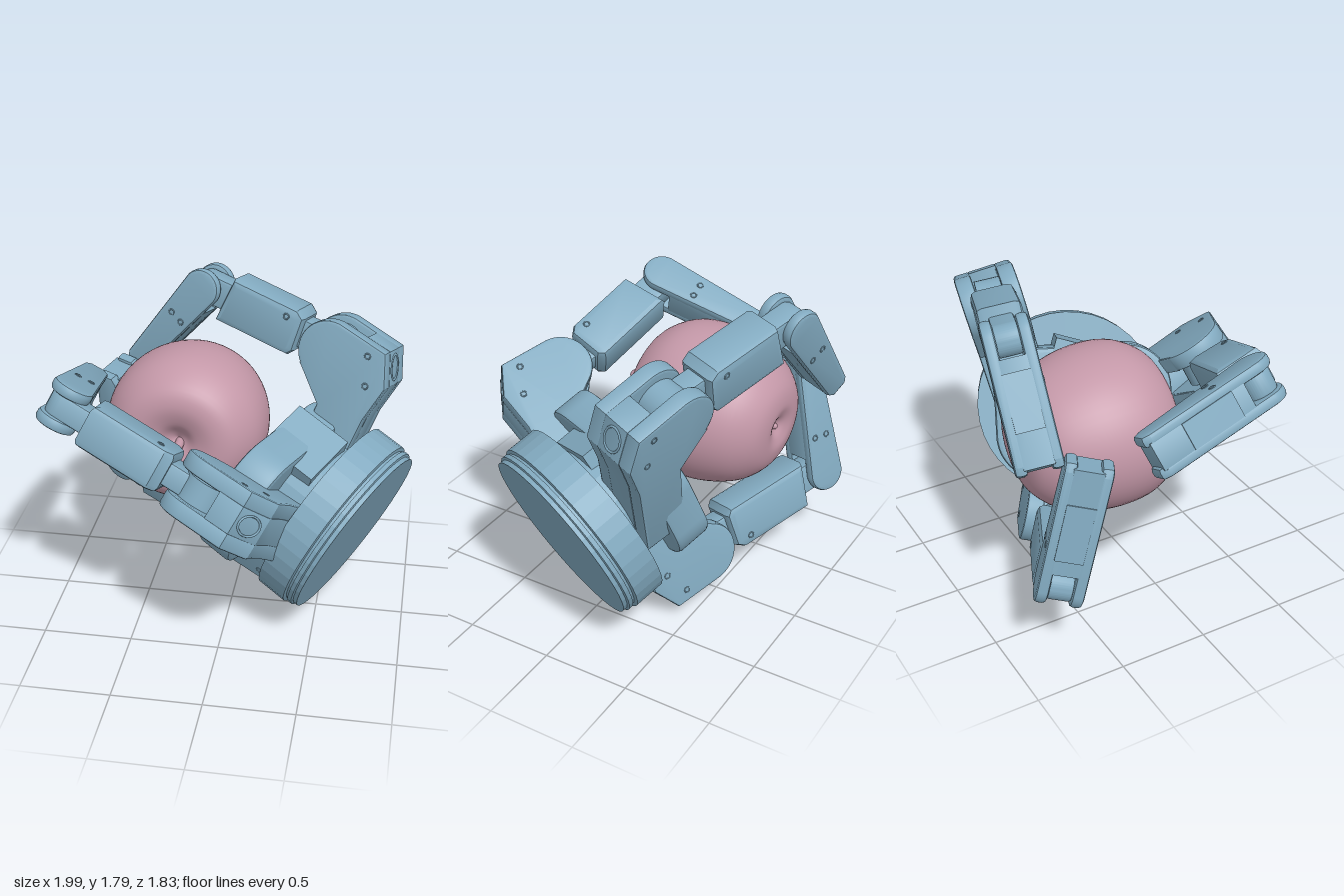
import * as THREE from 'three';
import { toCreasedNormals } from 'three/addons/utils/BufferGeometryUtils.js';

const V = (x, y, z) => new THREE.Vector3(x, y, z);
const steel = new THREE.MeshStandardMaterial({ color: 0x82aac0 });
const steelFlat = new THREE.MeshStandardMaterial({ color: 0x82aac0, flatShading: true });
const fruitSkin = new THREE.MeshStandardMaterial({ color: 0xc498a8 });

function add(parent, name, geometry, material = steel) {
  const mesh = new THREE.Mesh(geometry, material);
  mesh.name = name;
  parent.add(mesh);
}

// Group placed at a point with its own x, y, z directions
function frame(parent, name, origin, x, y, z) {
  const g = new THREE.Group();
  g.name = name;
  g.quaternion.setFromRotationMatrix(new THREE.Matrix4().makeBasis(x, y, z));
  g.position.copy(origin);
  parent.add(g);
  return g;
}

// Bevelled slab of a given width, centred on z = zc
function slab(shape, width, zc = 0, bevel = 0.015) {
  const g = new THREE.ExtrudeGeometry(shape, {
    depth: width - 2 * bevel, bevelThickness: bevel, bevelSize: bevel,
    bevelOffset: -bevel, bevelSegments: 2, curveSegments: 16,
  });
  g.translate(0, 0, zc - width / 2 + bevel);
  return toCreasedNormals(g, 0.5);
}

const poly = (pts) => new THREE.Shape(pts.map(([x, y]) => new THREE.Vector2(x, y)));

function roundedRect(x0, x1, y0, y1, r) {
  const s = new THREE.Shape();
  s.absarc(x1 - r, y1 - r, r, 0, Math.PI / 2);
  s.absarc(x0 + r, y1 - r, r, Math.PI / 2, Math.PI);
  s.absarc(x0 + r, y0 + r, r, Math.PI, Math.PI * 1.5);
  s.absarc(x1 - r, y0 + r, r, Math.PI * 1.5, Math.PI * 2);
  return s;
}

// Screw heads on both side faces of a link
function screws(parent, spots, half) {
  for (const [x, y] of spots) for (const side of [-1, 1]) {
    const g = new THREE.TorusGeometry(0.016, 0.004, 6, 14);
    g.translate(x, y, side * half);
    add(parent, 'screw', g);
  }
}

// Knuckle housing: a forked round end, a squared back and an arm to the palm
function buildKnuckle(g, arm) {
  const back = [[-0.31, -0.135], [-0.38, 0.05], [-0.33, 0.27], [-0.30, arm], [-0.04, arm], [-0.05, 0.3]];
  const cheek = poly(back);
  cheek.lineTo(0.115, 0.135);
  cheek.absarc(0, 0, 0.178, 0.88, -1.75, true);
  cheek.closePath();
  for (const s of [-1, 1]) add(g, 'knuckleCheek', slab(cheek, 0.095, s * 0.12));
  add(g, 'knuckleCore', slab(poly([...back, [-0.16, 0.12], [-0.16, -0.155]]), 0.16, 0, 0.004));
  const eye = new THREE.TorusGeometry(0.055, 0.006, 6, 24);
  eye.scale(1, 1.3, 1).rotateY(Math.PI / 2).rotateZ(0.36).translate(-0.345, -0.043, 0);
  add(g, 'knuckleEye', eye);
  screws(g, [[-0.22, -0.08], [-0.27, 0.08]], 0.167);
}

// Proximal link: chunky body with a narrow tongue at each end
function buildProximal(g, length) {
  add(g, 'proximalTongue', slab(roundedRect(-0.12, length + 0.085, -0.085, 0.085, 0.08), 0.13));
  const hub = new THREE.CylinderGeometry(0.13, 0.13, 0.15, 28);
  add(g, 'proximalHub', toCreasedNormals(hub.rotateX(Math.PI / 2), 0.5));
  const a = 0.21, b = length - 0.135;
  const body = poly([[a, -0.1], [a + 0.05, -0.137], [b - 0.04, -0.137], [b, 0.137], [a + 0.03, 0.137], [a, 0.1]]);
  add(g, 'proximalBody', slab(body, 0.24, 0, 0.035));
  screws(g, [[a + 0.1, -0.08]], 0.12);
}

// Distal link: forked round end tapering to the fingertip
function buildDistal(g, length) {
  const cheek = new THREE.Shape();
  cheek.absarc(0, 0, 0.112, Math.PI / 2, Math.PI * 1.5);
  cheek.lineTo(length - 0.02, -0.065);
  cheek.lineTo(length + 0.02, -0.04);
  cheek.lineTo(length + 0.02, 0.06);
  cheek.lineTo(length - 0.02, 0.085);
  cheek.closePath();
  for (const s of [-1, 1]) add(g, 'distalCheek', slab(cheek, 0.065, s * 0.0925, 0.02));
  add(g, 'distalCore', slab(poly([[0.11, -0.1], [length, -0.062], [length, 0.08], [0.11, 0.107]]), 0.16, 0, 0.005));
  const plate = new THREE.BoxGeometry(length * 0.45, 0.03, 0.15);
  plate.rotateZ(0.07).translate(length * 0.5, -0.077, 0);
  add(g, 'distalBackPlate', plate);
  screws(g, [[0.24, -0.03], [0.24, 0.05]], 0.125);
}

// Finger from its knuckle joint, middle joint and fingertip
function buildFinger(root, name, { j1, j2, tip, arm, turn, tilt }) {
  const finger = new THREE.Group();
  finger.name = name;
  root.add(finger);
  const u = j2.clone().sub(j1), v = tip.clone().sub(j2);
  const l1 = u.length(), l2 = v.length();
  u.normalize();
  v.normalize();
  const hinge = u.clone().cross(v).normalize();
  const lower = frame(finger, 'lowerLink', j1, u, hinge.clone().cross(u), hinge);
  buildProximal(lower, l1);
  const knuckle = new THREE.Group();
  knuckle.name = 'knuckle';
  knuckle.rotation.set(tilt, 0, turn);
  lower.add(knuckle);
  buildKnuckle(knuckle, arm);
  buildDistal(frame(finger, 'distalLink', j2, v, hinge.clone().cross(v), hinge), l2);
}

// Round wrist flange, hub, palm and mounting block, stacked along the hand axis
function buildBase(root) {
  const axis = V(-0.834, 0.41, -0.37).normalize();
  const up = V(0, 1, 0).addScaledVector(axis, -axis.y).normalize();
  const g = frame(root, 'handBase', V(0.71, 0.54, 0.085), up, axis, up.clone().cross(axis));
  const rim = [[0, 0], [0.516, 0], [0.516, 0.025], [0.53, 0.03], [0.53, 0.055], [0.52, 0.056],
    [0.52, 0.07], [0.542, 0.075], [0.542, 0.25], [0, 0.25]].map(([x, y]) => new THREE.Vector2(x, y));
  add(g, 'wristFlange', new THREE.LatheGeometry(rim, 40), steelFlat);
  add(g, 'palmHub', new THREE.CylinderGeometry(0.33, 0.36, 0.3, 28).translate(0, 0.38, 0), steelFlat);
  const palm = slab(roundedRect(-0.385, 0.37, -0.44, 0.57, 0.26), 0.22, 0, 0.025);
  add(g, 'palm', palm.rotateX(Math.PI / 2).translate(0, 0.54, 0));
  const block = new THREE.BoxGeometry(0.3, 0.34, 0.34);
  add(g, 'mountingBlock', block.rotateY(-0.3).translate(0.23, 0.48, 0.045));
}

// Apple lying with its stem forwards
function buildFruit(root) {
  const y = V(-0.05, 0.06, 1).normalize();
  const x = V(1, 0, 0).addScaledVector(y, -y.x).normalize();
  const g = frame(root, 'apple', V(-0.285, 1.0, -0.305), x, y, x.clone().cross(y));
  const profile = new THREE.SplineCurve([[0, -0.375], [0.03, -0.38], [0.08, -0.407], [0.15, -0.42], [0.26, -0.385],
    [0.37, -0.275], [0.44, -0.1], [0.46, 0.08], [0.432, 0.24], [0.34, 0.37], [0.23, 0.41], [0.12, 0.385],
    [0.05, 0.335], [0, 0.305]].map(([a, b]) => new THREE.Vector2(a, b)));
  const pts = profile.getPoints(60);
  pts.forEach((p) => { p.x = Math.max(p.x, 0); });
  add(g, 'appleBody', new THREE.LatheGeometry(pts, 56).scale(1, 1, 0.96), fruitSkin);
  add(g, 'appleCalyx', new THREE.SphereGeometry(0.018, 12, 8).translate(0, -0.38, 0), fruitSkin);
  const path = new THREE.CatmullRomCurve3([V(-0.29, 1, -0.03), V(-0.295, 0.99, 0.08), V(-0.32, 0.975, 0.18), V(-0.385, 0.97, 0.25)]);
  add(root, 'stem', new THREE.TubeGeometry(path, 20, 0.026, 12), fruitSkin);
  const cap = new THREE.SphereGeometry(0.045, 16, 10).scale(1, 0.8, 1.1);
  add(root, 'stemEnd', cap.translate(-0.385, 0.97, 0.26), fruitSkin);
}

export function createModel() {
  const root = new THREE.Group();
  root.name = 'gripperHoldingApple';
  buildBase(root);
  buildFinger(root, 'frontFinger', {
    j1: V(-0.05, 1.025, 0.585), j2: V(-0.835, 1.36, 0.37), tip: V(-0.895, 1.16, -0.28), arm: 0.78, turn: 0.37, tilt: 0.11,
  });
  buildFinger(root, 'upperFinger', {
    j1: V(0.53, 1.42, -0.455), j2: V(-0.25, 1.635, -0.735), tip: V(-0.67, 1.13, -0.785), arm: 0.78, turn: 0, tilt: 0.08,
  });
  buildFinger(root, 'lowerFinger', {
    j1: V(0.045, 0.25, -0.365), j2: V(-0.76, 0.455, -0.735), tip: V(-0.785, 1.14, -0.57), arm: 0.55, turn: 0.2, tilt: 0,
  });
  buildFruit(root);
  return root;
}
